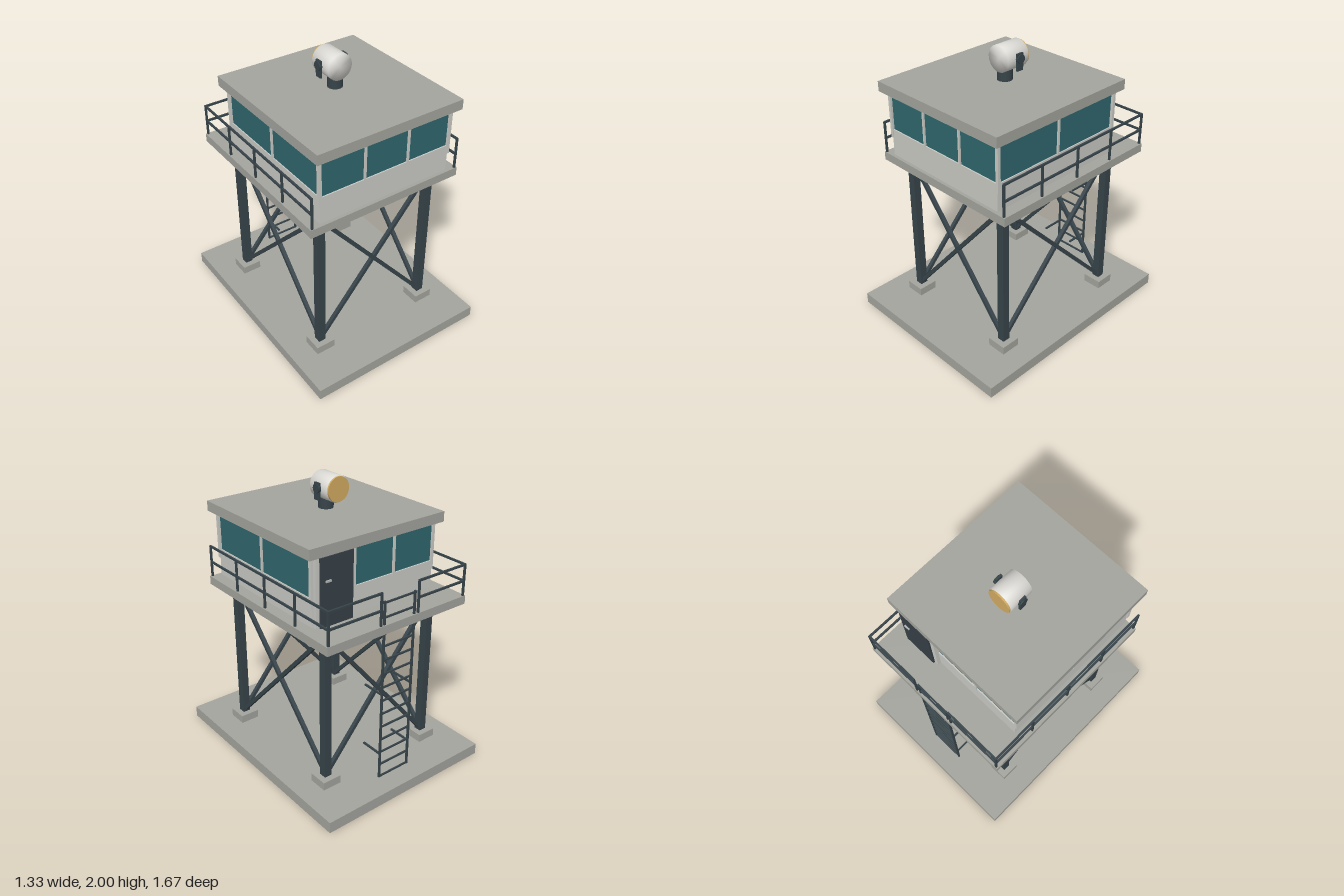
import * as THREE from 'three';
import { mergeVertices } from 'three/addons/utils/BufferGeometryUtils.js';

const material = (name, color) => {
  const m = new THREE.MeshStandardMaterial({ color });
  m.name = name;
  return m;
};

export function createModel() {
  const concrete = material('concrete', 0xa3a49d);
  const wall = material('wall paint', 0xc9c9c4);
  const steel = material('dark steel', 0x37444a);
  const glass = material('teal glass', 0x2f666d);
  const doorPaint = material('door paint', 0x364047);
  const lampPaint = material('lamp housing', 0xdcdbd6);
  const lensAmber = material('amber lens', 0xd2ab62);
  const handleMetal = material('handle metal', 0xb0b3b3);

  const model = new THREE.Group();
  model.name = 'watchtower';
  const group = (name) => {
    const g = new THREE.Group();
    g.name = name;
    model.add(g);
    return g;
  };
  const add = (parent, name, geometry, mat, x = 0, y = 0, z = 0) => {
    const m = new THREE.Mesh(geometry, mat);
    m.name = name;
    m.position.set(x, y, z);
    parent.add(m);
    return m;
  };
  // Box given by its lower and upper limits on each axis
  const box = (parent, name, mat, [x0, x1], [y0, y1], [z0, z1]) =>
    add(parent, name, new THREE.BoxGeometry(x1 - x0, y1 - y0, z1 - z0), mat,
      (x0 + x1) / 2, (y0 + y1) / 2, (z0 + z1) / 2);
  // Square bar between two points
  const bar = (parent, name, mat, a, b, t) => {
    const p = new THREE.Vector3(...a), q = new THREE.Vector3(...b);
    const m = add(parent, name, new THREE.BoxGeometry(t, t, p.distanceTo(q)), mat);
    m.position.copy(p).add(q).multiplyScalar(0.5);
    m.lookAt(q);
    return m;
  };

  // Ground slab, platform and roof
  box(model, 'groundSlab', concrete, [-0.665, 0.665], [0, 0.08], [-0.833, 0.833]);
  box(model, 'platform', concrete, [-0.575, 0.575], [1.17, 1.23], [-0.695, 0.62]);
  box(model, 'roof', concrete, [-0.542, 0.542], [1.69, 1.76], [-0.49, 0.645]);

  // Legs on footings
  const LX = 0.433, LZ = 0.495;
  const frame = group('supportFrame');
  for (const sx of [-1, 1]) for (const sz of [-1, 1]) {
    const x = sx * LX, z = sz * LZ;
    box(frame, 'footing', concrete, [x - 0.069, x + 0.069], [0.08, 0.138], [z - 0.069, z + 0.069]);
    box(frame, 'leg', steel, [x - 0.027, x + 0.027], [0.138, 1.17], [z - 0.027, z + 0.027]);
  }
  // Cross braces on all four sides
  for (const s of [-1, 1]) for (const d of [-1, 1]) {
    bar(frame, 'crossBrace', steel, [-d * LX, 0.14, s * LZ], [d * LX, 1.17, s * LZ], 0.026);
    bar(frame, 'sideBrace', steel, [s * LX, 0.14, -d * LZ], [s * LX, 1.17, d * LZ], 0.026);
  }

  // Cabin: parapet wall, glazing, corner posts and mullions
  const cabin = group('cabin');
  box(cabin, 'lowerWall', wall, [-0.495, 0.495], [1.23, 1.42], [-0.45, 0.597]);
  box(cabin, 'windows', glass, [-0.488, 0.488], [1.42, 1.685], [-0.441, 0.588]);
  box(cabin, 'ceilingBand', wall, [-0.492, 0.492], [1.683, 1.69], [-0.446, 0.593]);
  for (const x of [-0.495, 0.495]) {
    for (const z of [-0.441, 0.592])
      box(cabin, 'cornerPost', wall, [x - 0.011, x + 0.011], [1.36, 1.69], [z - 0.011, z + 0.011]);
    box(cabin, 'sideMullion', wall, [x - 0.006, x + 0.006], [1.4, 1.69], [0.071, 0.085]);
  }
  for (const x of [-0.165, 0.165])
    box(cabin, 'frontMullion', wall, [x - 0.007, x + 0.007], [1.41, 1.69], [0.58, 0.6]);
  box(cabin, 'backMullion', wall, [-0.161, -0.147], [1.4, 1.69], [-0.454, -0.435]);

  // Door in the back wall
  box(cabin, 'doorFrame', wall, [0.18, 0.488], [1.23, 1.69], [-0.475, -0.43]);
  box(cabin, 'door', doorPaint, [0.21, 0.46], [1.23, 1.685], [-0.487, -0.475]);
  box(cabin, 'doorHandle', handleMetal, [0.385, 0.425], [1.525, 1.537], [-0.498, -0.487]);

  // Railings: two long sides and two back runs beside the ladder opening
  const railing = group('railing');
  const RX = 0.56, RZ = -0.685, T = 0.013;
  for (const s of [-1, 1]) {
    for (const y of [1.335, 1.45]) {
      bar(railing, 'sideRail', steel, [s * RX, y, RZ - T / 2], [s * RX, y, 0.615], T);
      bar(railing, 'backRail', steel, [s * RX, y, RZ], [s * 0.155, y, RZ], T);
    }
    for (let i = 0; i < 5; i++) {
      const z = 0.61 + (RZ - 0.61) * i / 4;
      bar(railing, 'railPost', steel, [s * RX, 1.23, z], [s * RX, 1.45, z], T);
    }
    bar(railing, 'gatePost', steel, [s * 0.155, 1.23, RZ], [s * 0.155, 1.456, RZ], T);
  }

  // Ladder with stand-off brackets
  const ladder = group('ladder');
  for (const x of [-0.125, 0.125]) {
    box(ladder, 'ladderStile', steel, [x - 0.0065, x + 0.0065], [0.08, 1.39], [-0.688, -0.675]);
    for (const y of [0.27, 0.73])
      bar(ladder, 'ladderBracket', steel, [x, y, -0.68], [x, y, -0.52], 0.012);
  }
  for (let i = 0; i < 14; i++) {
    const y = 0.085 + i * 0.0995;
    bar(ladder, 'rung', steel, [-0.125, y, -0.681], [0.125, y, -0.681], 0.011);
  }

  // Searchlight on the roof, lens facing back
  const lamp = group('searchlight');
  add(lamp, 'lampPedestal', new THREE.CylinderGeometry(0.051, 0.051, 0.085, 24), steel, 0, 1.8, 0.05);
  const housing = new THREE.CylinderGeometry(0.09, 0.09, 0.175, 32);
  housing.deleteAttribute('normal');
  housing.deleteAttribute('uv');
  const softHousing = mergeVertices(housing);
  softHousing.computeVertexNormals();
  add(lamp, 'lampHousing', softHousing, lampPaint, 0, 1.91, 0.016).rotation.x = Math.PI / 2;
  add(lamp, 'lampLens', new THREE.CylinderGeometry(0.084, 0.084, 0.012, 32), lensAmber,
    0, 1.91, -0.077).rotation.x = Math.PI / 2;
  for (const s of [-1, 1]) {
    add(lamp, 'yokeArm', new THREE.BoxGeometry(0.014, 0.115, 0.05), steel, s * 0.097, 1.893, 0.015);
    add(lamp, 'pivotKnob', new THREE.CylinderGeometry(0.031, 0.031, 0.02, 20), steel,
      s * 0.101, 1.913, 0.013).rotation.z = Math.PI / 2;
  }

  return model;
}
